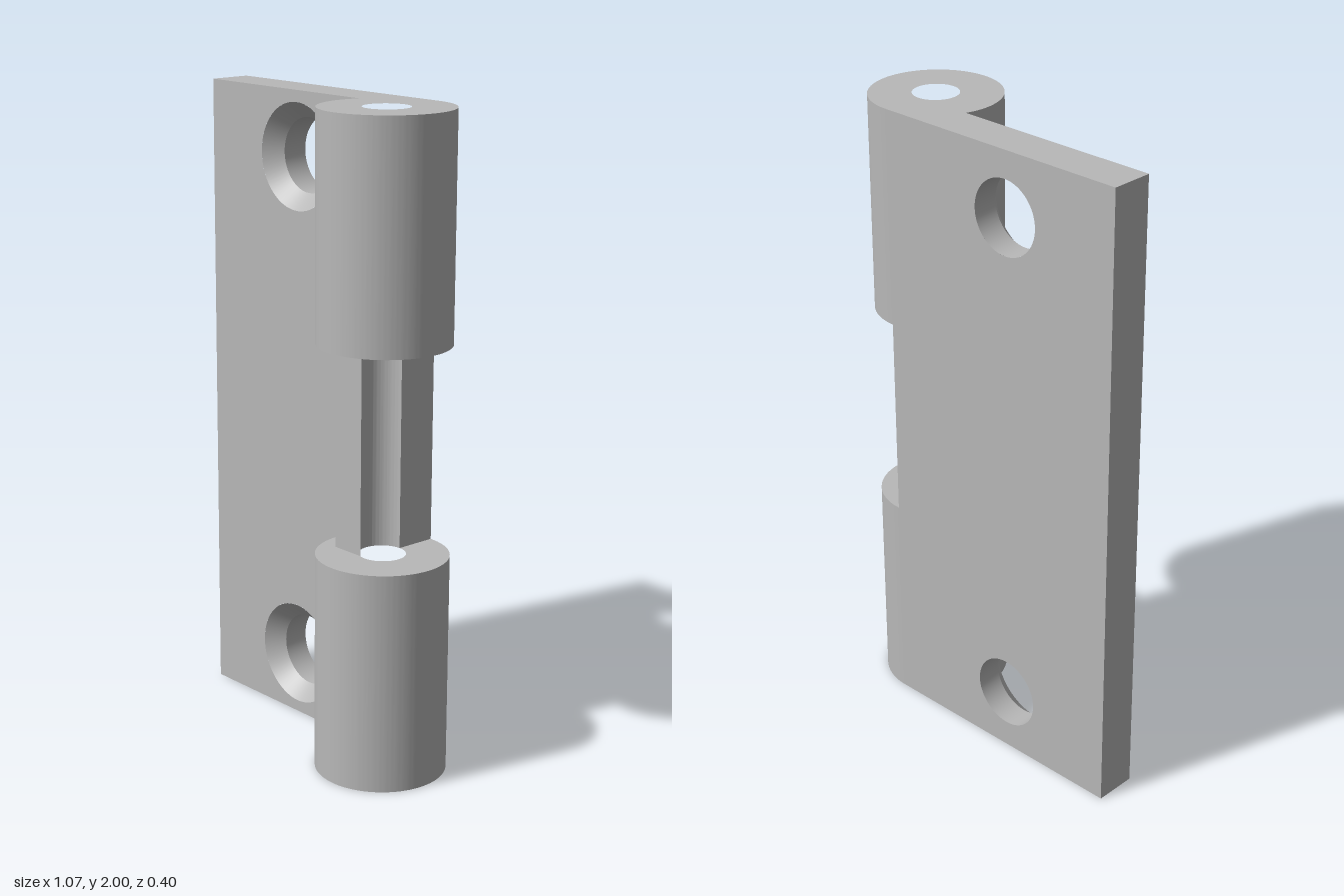
import * as THREE from 'three';
import { toCreasedNormals } from 'three/addons/utils/BufferGeometryUtils.js';

const W = 0.5333;                 // half width
const AXIS = 0.3333, R = 0.2;     // knuckle axis and radius
const BORE = 0.0707;              // pin bore radius
const BACK = -0.2, FRONT = -0.0667; // leaf faces in z
const JOIN = AXIS - Math.sqrt(R * R - FRONT * FRONT); // where leaf meets knuckle
const HOLE_X = -0.1333, HOLE_YS = [0.2, 1.8];
const HOLE_R = 0.115, SINK_R = 0.164, SINK_DEPTH = 0.05;

export function createModel() {
  const group = new THREE.Group();
  const steel = new THREE.MeshStandardMaterial({ color: 0xb8b8b8 });
  steel.name = 'steel grey';

  const add = (name, geometry, parent = group) => {
    const mesh = new THREE.Mesh(geometry, steel);
    mesh.name = name;
    parent.add(mesh);
    return mesh;
  };

  // Extrude a plan profile (x, -z) upward from y0 to y1
  const rise = (shape, y0, y1) => {
    const g = new THREE.ExtrudeGeometry(shape, { depth: y1 - y0, bevelEnabled: false, curveSegments: 72 });
    g.rotateX(-Math.PI / 2).translate(0, y0, 0);
    return toCreasedNormals(g, 0.5);
  };

  // Leaf outline with round holes; side = -1 mirrors it for the back face
  const leafFace = (holeRadius, side) => {
    const s = new THREE.Shape([[-W, 0], [JOIN, 0], [JOIN, 2], [-W, 2]]
      .map(([x, y]) => new THREE.Vector2(x * side, y)));
    for (const y of HOLE_YS) {
      s.holes.push(new THREE.Path().absarc(HOLE_X * side, y, holeRadius, 0, Math.PI * 2, true));
    }
    return new THREE.ShapeGeometry(s, 64);
  };

  // Leaf plate: front, back and outer edges
  const leaf = new THREE.Group();
  leaf.name = 'leaf';
  group.add(leaf);
  add('leafFront', leafFace(SINK_R, 1).translate(0, 0, FRONT), leaf);
  add('leafBack', leafFace(HOLE_R, -1).rotateY(Math.PI).translate(0, 0, BACK), leaf);
  const thick = FRONT - BACK, midZ = (FRONT + BACK) / 2;
  const length = JOIN + W, midX = (JOIN - W) / 2;
  add('leafSideEdge', new THREE.PlaneGeometry(thick, 2).rotateY(-Math.PI / 2).translate(-W, 1, midZ), leaf);
  add('leafTopEdge', new THREE.PlaneGeometry(length, thick).rotateX(-Math.PI / 2).translate(midX, 2, midZ), leaf);
  add('leafBottomEdge', new THREE.PlaneGeometry(length, thick).rotateX(Math.PI / 2).translate(midX, 0, midZ), leaf);

  // Countersunk screw hole walls
  for (const y of HOLE_YS) {
    const wall = new THREE.LatheGeometry([
      new THREE.Vector2(SINK_R, FRONT),
      new THREE.Vector2(HOLE_R, FRONT - SINK_DEPTH),
      new THREE.Vector2(HOLE_R, BACK),
    ], 64).rotateX(Math.PI / 2).translate(HOLE_X, y, 0);
    add('screwHole', toCreasedNormals(wall, 0.5), leaf);
  }

  // Bored knuckles at both ends, flowing into the back of the leaf
  const knuckle = new THREE.Shape();
  knuckle.moveTo(JOIN, -BACK);
  knuckle.lineTo(AXIS, -BACK);
  knuckle.absarc(AXIS, 0, R, Math.PI / 2, Math.PI - Math.asin(-FRONT / R), true);
  knuckle.closePath();
  knuckle.holes.push(new THREE.Path().absarc(AXIS, 0, BORE, 0, Math.PI * 2, true));
  add('lowerKnuckle', rise(knuckle, 0, 0.68));
  add('upperKnuckle', rise(knuckle, 1.32, 2));

  // Middle web: cut-back leaf with a rib hollowed by the bore
  const web = new THREE.Shape();
  web.moveTo(JOIN, -BACK);
  web.lineTo(JOIN, -FRONT);
  web.lineTo(0.2, -FRONT);
  web.lineTo(0.2, FRONT);
  web.absarc(AXIS, 0, BORE, Math.PI + Math.asin(-FRONT / BORE), Math.PI / 2, true);
  web.lineTo(AXIS, -BACK);
  web.closePath();
  add('middleWeb', rise(web, 0.68, 1.32));

  return group;
}
